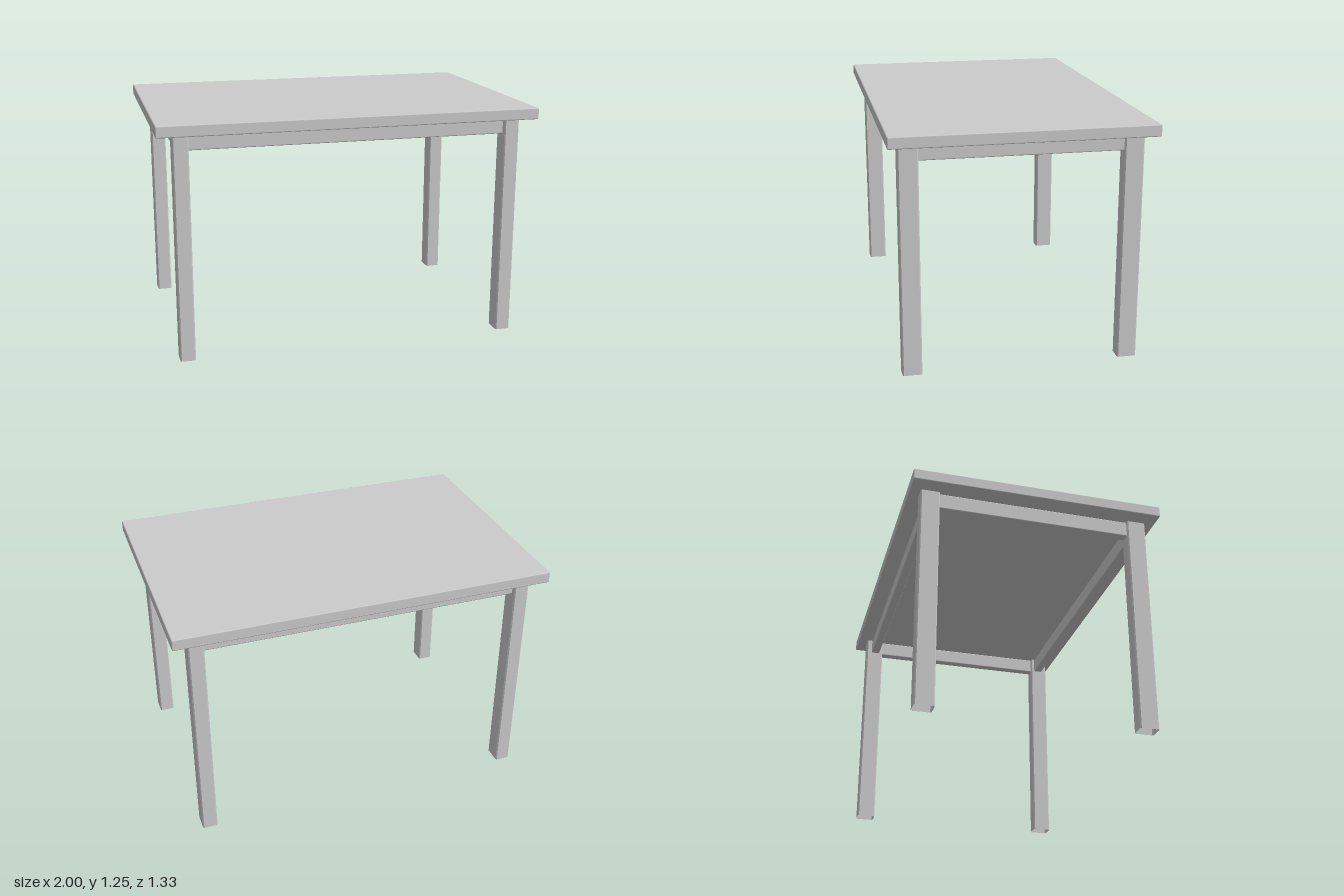
import * as THREE from 'three';
import { RoundedBoxGeometry } from 'three/addons/geometries/RoundedBoxGeometry.js';

const BEVEL = 0.006;
const TOP_Y = 1.19;       // underside of the table top
const LEG = { w: 0.08, d: 0.1, x: 0.875, z: 0.56 };
const RAIL = { h: 0.085, t: 0.05 };

const material = new THREE.MeshStandardMaterial({ color: 0xcccccc });
const openMaterial = new THREE.MeshStandardMaterial({ color: 0xcccccc, side: THREE.DoubleSide });

// Board with small bevels along every edge
function board(name, w, h, d, x, y, z) {
  const mesh = new THREE.Mesh(new RoundedBoxGeometry(w, h, d, 1, BEVEL), material);
  mesh.name = name;
  mesh.position.set(x, y, z);
  return mesh;
}

// Hollow rectangular leg with chamfered corners, open at the foot
function legGeometry() {
  const geo = new THREE.CylinderGeometry(1, 1, TOP_Y, 8, 1, true, Math.PI / 8);
  const pos = geo.attributes.position;
  const hw = LEG.w / 2, hd = LEG.d / 2;
  for (let i = 0; i < pos.count; i++) {
    const x = pos.getX(i), z = pos.getZ(i);
    const wide = Math.abs(x) > Math.abs(z);
    pos.setX(i, Math.sign(x) * (wide ? hw : hw - BEVEL));
    pos.setZ(i, Math.sign(z) * (wide ? hd - BEVEL : hd));
  }
  const flat = geo.toNonIndexed();
  flat.computeVertexNormals();
  return flat;
}

export function createModel() {
  const table = new THREE.Group();
  table.name = 'table';

  // Top
  table.add(board('tableTop', 2, 0.06, 1.33, 0, TOP_Y + 0.03, 0));

  // Legs
  const geo = legGeometry();
  for (const sx of [-1, 1]) {
    for (const sz of [-1, 1]) {
      const leg = new THREE.Mesh(geo, openMaterial);
      leg.name = (sz > 0 ? 'front' : 'back') + (sx > 0 ? 'Left' : 'Right') + 'Leg';
      leg.position.set(sx * LEG.x, TOP_Y / 2, sz * LEG.z);
      table.add(leg);
    }
  }

  // Apron rails between the legs
  const railY = TOP_Y - RAIL.h / 2;
  const longRail = 2 * LEG.x - LEG.w + 0.02;
  const shortRail = 2 * LEG.z - LEG.d + 0.02;
  for (const s of [-1, 1]) {
    table.add(board(s > 0 ? 'frontRail' : 'backRail', longRail, RAIL.h, RAIL.t, 0, railY, s * 0.555));
    table.add(board(s > 0 ? 'leftRail' : 'rightRail', RAIL.t, RAIL.h, shortRail, s * LEG.x, railY, 0));
  }
  return table;
}
